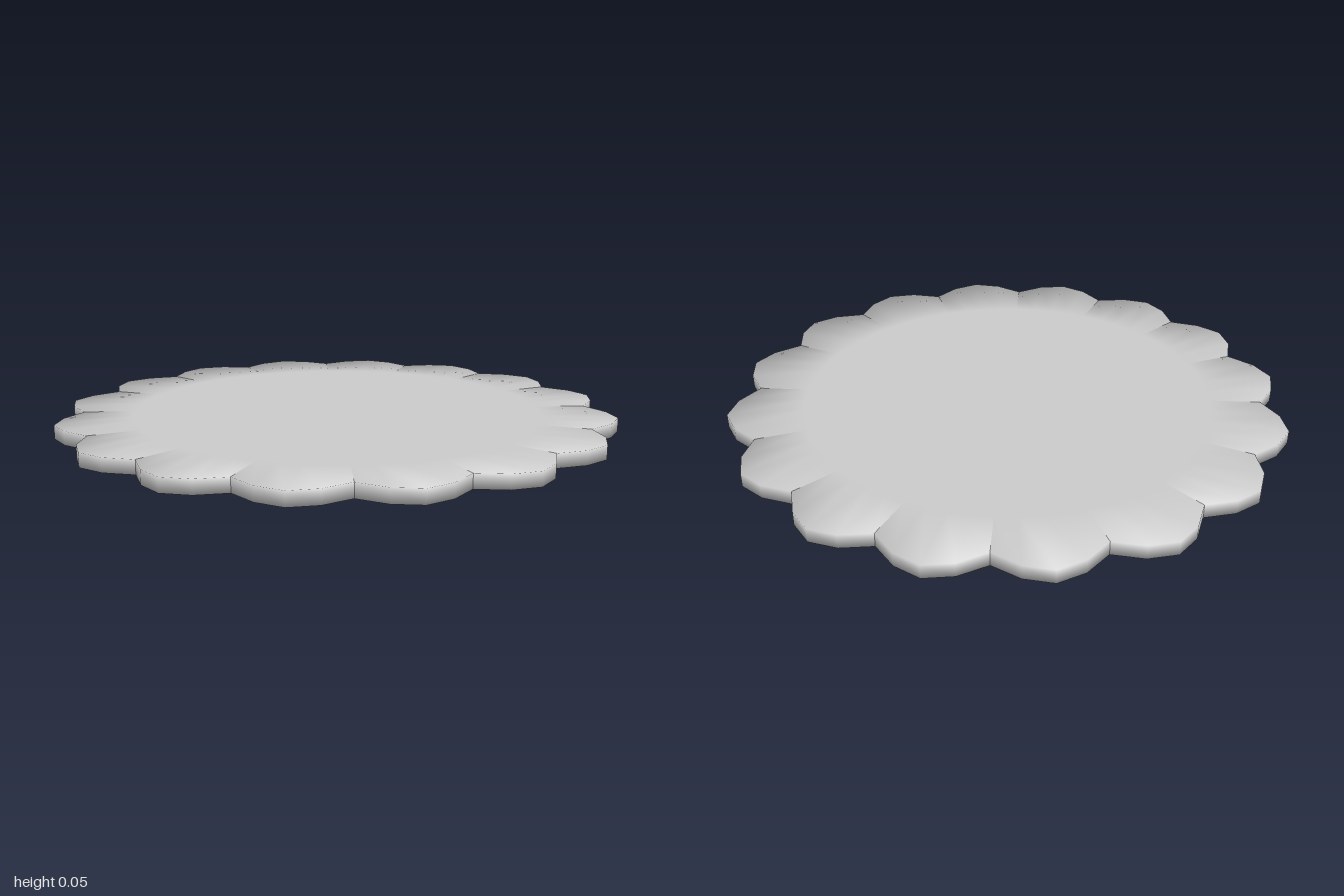
import * as THREE from 'three';

const LOBES = 16, H = 0.05, INNER = 0.75;
const RIM = [0.929, 0.99, 1.0195, 0.99, 0.929]; // rim radius across one lobe
const STEP = (Math.PI * 2) / (LOBES * (RIM.length - 1));

// One scallop: a flat slice with soft normals over the rim and a crease at each valley
function scallopGeometry() {
  const cols = RIM.map((r, i) => {
    const a = i * STEP;
    return { a, p: new THREE.Vector2(r * Math.sin(a), r * Math.cos(a)) };
  });
  const pos = [], nor = [], idx = [];
  cols.forEach(({ a, p }, i) => {
    const before = cols[Math.max(i - 1, 0)].p;
    const after = cols[Math.min(i + 1, cols.length - 1)].p;
    const t = after.clone().sub(before).normalize();
    const ix = INNER * Math.sin(a), iz = INNER * Math.cos(a), s = Math.SQRT1_2;
    // Cross-section: top inner, top rim, bottom rim, bottom inner
    pos.push(ix, H, iz, p.x, H, p.y, p.x, 0, p.y, ix, 0, iz);
    nor.push(0, 1, 0, -t.y * s, s, t.x * s, -t.y * s, -s, t.x * s, 0, -1, 0);
    if (i === cols.length - 1) return;
    for (let j = 0; j < 3; j++) {
      const k = i * 4 + j;
      idx.push(k, k + 1, k + 5, k, k + 5, k + 4);
    }
  });
  const g = new THREE.BufferGeometry();
  g.setAttribute('position', new THREE.Float32BufferAttribute(pos, 3));
  g.setAttribute('normal', new THREE.Float32BufferAttribute(nor, 3));
  g.setIndex(idx);
  return g;
}

export function createModel() {
  const model = new THREE.Group();
  model.name = 'scallopedPlate';
  const material = new THREE.MeshStandardMaterial({ color: 0xcccccc });

  // Flat centre, top and underside
  const disc = new THREE.CircleGeometry(INNER, LOBES * (RIM.length - 1));
  for (const top of [true, false]) {
    const centre = new THREE.Mesh(disc, material);
    centre.name = top ? 'centreTop' : 'centreUnderside';
    centre.rotation.x = top ? -Math.PI / 2 : Math.PI / 2;
    centre.position.y = top ? H : 0;
    model.add(centre);
  }

  // Ring of scallops
  const scallop = scallopGeometry();
  for (let i = 0; i < LOBES; i++) {
    const lobe = new THREE.Mesh(scallop, material);
    lobe.name = `scallop${i + 1}`;
    lobe.rotation.y = (i * Math.PI * 2) / LOBES;
    model.add(lobe);
  }
  return model;
}
